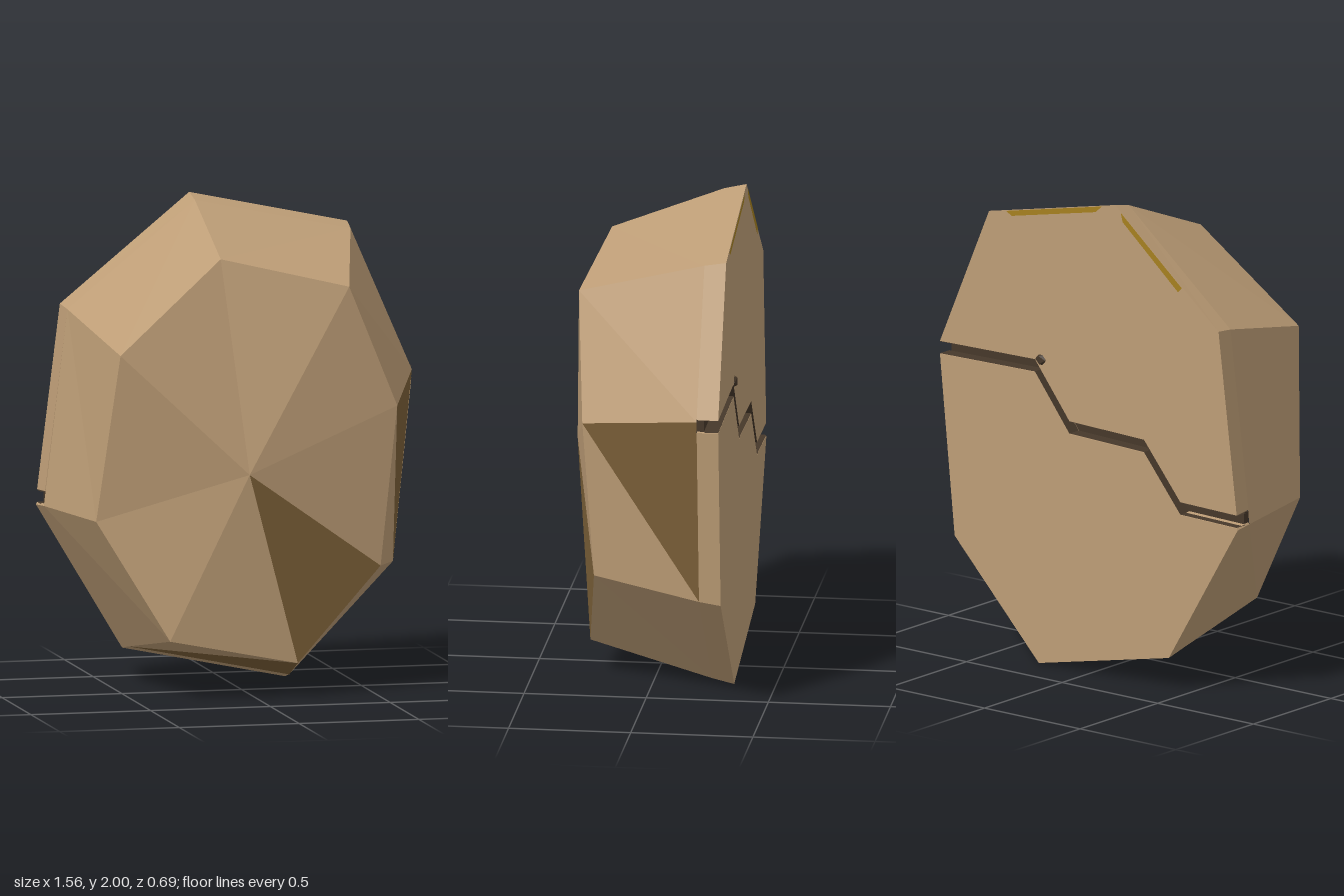
import * as THREE from 'three';

const mat = (name, color, side = THREE.FrontSide) => {
  const m = new THREE.MeshStandardMaterial({ color, side });
  m.name = name;
  return m;
};

// Flat-shaded mesh from a list of triangles, each made of three [x, y, z] points
function facets(name, triangles, material) {
  const g = new THREE.BufferGeometry();
  g.setAttribute('position', new THREE.Float32BufferAttribute(triangles.flat(2), 3));
  g.computeVertexNormals();
  const mesh = new THREE.Mesh(g, material);
  mesh.name = name;
  return mesh;
}

const BACK = -0.33, MID = -0.24, FLOOR = -0.27;

// Points run clockwise from the top, seen from the front
const outer = [[-0.14, 2], [0.52, 1.86], [0.78, 1.26], [0.7, 0.46],
  [0.26, 0], [-0.42, 0.14], [-0.78, 0.74], [-0.68, 1.56]];
const inner = [[-0.14, 1.8, 0.22], [0.38, 1.68, 0.29], [0.59, 1.18, 0.25], [0.53, 0.52, 0.21],
  [0.17, 0.14, 0.27], [-0.37, 0.25, 0.3], [-0.66, 0.74, 0.22], [-0.58, 1.43, 0.31]];
const apex = [-0.05, 0.93, 0.35];

// Centre line of the crack, from +x to -x
const crack = [[0.777, 1.24], [0.28, 1.25], [0.1, 1.02], [-0.29, 1.01], [-0.48, 0.78], [-0.775, 0.775]];
const shifted = (dy) => crack.map(([x, y]) => [x, y + dy]);
const taper = ([x, y]) => [x * 0.985, 1 + (y - 1) * 0.98];

// Extruded plate between two depths; slabs narrow slightly toward the front
function plate(name, points, z0, z1, material, tapered) {
  const shape = new THREE.Shape(points.map(([x, y]) => new THREE.Vector2(x, y)));
  const g = new THREE.ExtrudeGeometry(shape, { depth: z1 - z0, bevelEnabled: false });
  g.translate(0, 0, z0);
  if (tapered) {
    const p = g.attributes.position;
    for (let i = 0; i < p.count; i++) {
      if (p.getZ(i) > (z0 + z1) / 2) p.setXY(i, ...taper([p.getX(i), p.getY(i)]));
    }
    g.computeVertexNormals();
  }
  const mesh = new THREE.Mesh(g, material);
  mesh.name = name;
  return mesh;
}

export function createModel() {
  const stone = mat('tan stone', 0xbd9d76);
  const olive = mat('olive brown', 0x7c6038);
  const dark = mat('dark crevice', 0x46382a, THREE.DoubleSide);
  const gold = mat('gold', 0xa5801f, THREE.DoubleSide);

  const model = new THREE.Group();
  model.name = 'facetedStone';

  // Faceted front: shallow crown plus sloping sides, with three darker facets
  const mid = outer.map((p) => [...taper(p), MID]);
  const light = [], shade = [];
  for (let k = 0; k < 8; k++) {
    const n = (k + 1) % 8;
    (k === 3 ? shade : light).push([apex, inner[n], inner[k]]);
    light.push([inner[k], inner[n], mid[n]]);
    (k === 2 || k === 4 ? shade : light).push([inner[k], mid[n], mid[k]]);
  }
  model.add(facets('frontFacets', light, stone), facets('darkFacets', shade, olive));

  // Back slab, split in two by the crack
  const half = 0.027;
  const [o0, o1, , o3, o4, o5, o6, o7] = outer;
  model.add(plate('upperBackSlab', [o7, o0, o1, ...shifted(half)], BACK, MID, stone, true));
  model.add(plate('lowerBackSlab', [o6, o5, o4, o3, ...shifted(-half)], BACK, MID, stone, true));

  // Crack floor and the dark lining of its two walls
  const inset = half - 0.002;
  model.add(plate('crackFloor',
    [...shifted(inset), ...shifted(-inset).reverse()].map(([x, y]) => [x * 0.985, y]), FLOOR, MID, dark));
  const walls = [];
  for (const dy of [inset, -inset]) {
    const line = shifted(dy);
    for (let i = 0; i < line.length - 1; i++) {
      const a = [...line[i], BACK], b = [...line[i + 1], BACK];
      const c = [...line[i + 1], FLOOR], d = [...line[i], FLOOR];
      walls.push([a, b, c], [a, c, d]);
    }
  }
  model.add(facets('crackWalls', walls, dark));

  // Small chip standing proud of the back beside the crack
  const chip = new THREE.Mesh(new THREE.IcosahedronGeometry(0.03, 0).toNonIndexed?.() ?? null, dark);
  chip.name = 'chip';
  chip.position.set(0.25, 1.28, -0.32);
  chip.scale.z = 0.85;
  model.add(chip);

  // Thin gold slivers along the two upper back edges
  const z = BACK - 0.002;
  const sliver = (a, b, c, d) => {
    const [p, q, r, s] = [a, b, c, d].map((v) => [...v, z]);
    return [[p, r, q], [p, s, r]];
  };
  model.add(facets('goldSlivers', [
    ...sliver([-0.07, 1.982], [0.43, 1.876], [0.4, 1.86], [-0.04, 1.953]),
    ...sliver([-0.17, 1.973], [-0.49, 1.71], [-0.47, 1.69], [-0.18, 1.935]),
  ], gold));

  return model;
}
